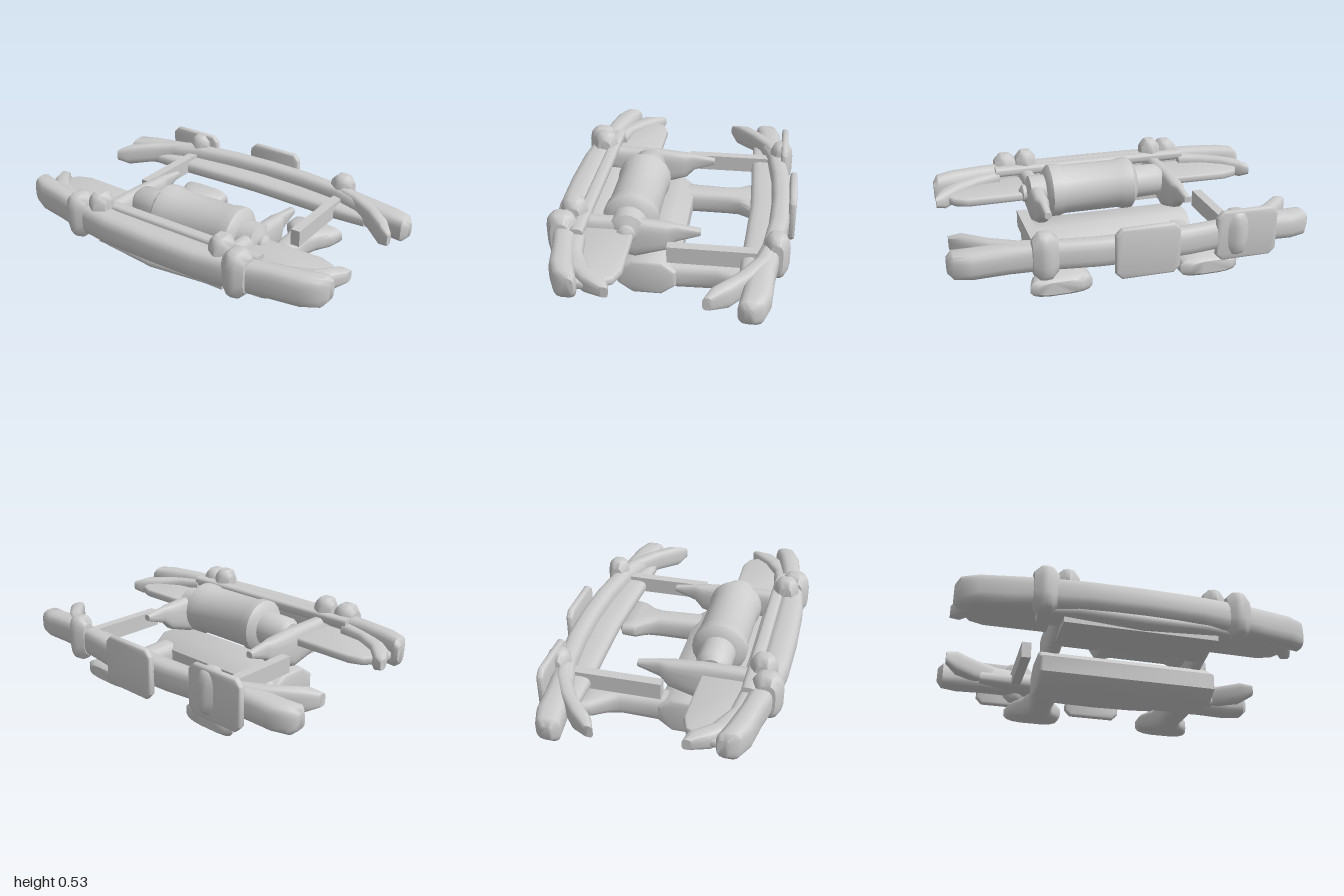
import * as THREE from 'three';
import { toCreasedNormals } from 'three/addons/utils/BufferGeometryUtils.js';

const material = new THREE.MeshStandardMaterial({ color: 0xcccccc, side: THREE.DoubleSide });

// Adds one named mesh with creased normals.
function add(group, name, geometry) {
  const mesh = new THREE.Mesh(toCreasedNormals(geometry, 0.8), material);
  mesh.name = name;
  group.add(mesh);
}

// Rounded-square ring, as fractions of the half sizes.
const RING = Array.from({ length: 16 }, (_, i) => {
  const a = (i + 0.5) / 8 * Math.PI;
  const soft = (v) => Math.sign(v) * Math.min(1, Math.abs(v) ** 0.62 * 1.01);
  return [soft(Math.cos(a)), soft(Math.sin(a))];
});

// Loft along x: each station is [x, yLow, yHigh, zLow, zHigh].
// Loft along z: each station is [z, yLow, yHigh, xLow, xHigh].
function loft(stations, axis = 'x') {
  const pos = [], index = [], n = RING.length;
  const put = (t, y, w) => (axis === 'x' ? pos.push(t, y, w) : pos.push(w, y, t));
  for (const [t, y0, y1, w0, w1] of stations) {
    for (const [a, b] of RING) put(t, (y0 + y1) / 2 + a * (y1 - y0) / 2, (w0 + w1) / 2 + b * (w1 - w0) / 2);
  }
  const flip = (axis === 'x') !== (stations[0][0] > stations[stations.length - 1][0]);
  const face = (a, b, c) => (flip ? index.push(a, c, b) : index.push(a, b, c));
  const last = (stations.length - 1) * n;
  for (let s = 0; s < last; s += n) {
    for (let i = 0; i < n; i++) {
      const j = (i + 1) % n;
      face(s + i, s + n + i, s + j);
      face(s + j, s + n + i, s + n + j);
    }
  }
  for (let i = 1; i < n - 1; i++) {
    face(0, i, i + 1);
    face(last, last + i + 1, last + i);
  }
  const g = new THREE.BufferGeometry();
  g.setAttribute('position', new THREE.Float32BufferAttribute(pos, 3));
  g.setIndex(index.reverse());
  return g;
}

// Full-width loft from stations given for the left half, centre first.
function symmetric(half) {
  const other = half.slice(1).reverse().map(([x, ...rest]) => [-x, ...rest]);
  return loft([...other, ...half]);
}

// Mirrors the x of every station for the right-hand twin.
const sided = (stations, s) => loft(stations.map(([x, ...r]) => [s * x, ...r]));
const sidedZ = (stations, s) => loft(
  stations.map(([z, a, b, x0, x1]) => (s > 0 ? [z, a, b, x0, x1] : [z, a, b, -x1, -x0])), 'z');

// Bulging clamp around a tube.
function clamp(x, hw, y0, y1, z0, z1) {
  const k = 0.035, m = 0.012;
  return loft([
    [x - hw, y0 + k, y1 - k, z0 + k, z1 - k], [x - hw * .45, y0, y1, z0 + m, z1 - m], [x, y0, y1, z0, z1],
    [x + hw * .45, y0, y1, z0 + m, z1 - m], [x + hw, y0 + k, y1 - k, z0 + k, z1 - k]]);
}

function outline(points) {
  return new THREE.Shape(points.map(([x, y]) => new THREE.Vector2(x, y)));
}

// Winch part turned around x: profile of [x, radius].
function turned(profile) {
  const g = new THREE.LatheGeometry(profile.map(([x, r]) => new THREE.Vector2(r, x)), 20);
  g.rotateZ(-Math.PI / 2);
  g.translate(0, 0.365, 0.24);
  return g;
}

// Rounded square panel facing the back.
function panel(x, y, z, w, h, d) {
  const a = w / 2, b = h / 2, c = 0.035, e = 0.013;
  const g = new THREE.ExtrudeGeometry(outline([
    [-a + c, -b], [a - c, -b], [a, -b + c], [a, b - c], [a - c, b], [-a + c, b], [-a, b - c], [-a, -b + c]]),
  { depth: d - 2 * e, bevelSize: e, bevelThickness: e, bevelOffset: -e, bevelSegments: 2 });
  g.translate(x, y, z - d / 2 + e);
  return g;
}

function frontBumper() {
  const g = new THREE.Group();
  g.name = 'frontBumper';
  add(g, 'frontTube', symmetric([
    [0, .28, .445, .49, .65], [.3, .28, .445, .49, .643], [.55, .28, .45, .48, .61], [.7, .28, .455, .46, .575],
    [.86, .28, .455, .42, .55], [.95, .29, .45, .39, .51], [.975, .32, .42, .4, .46]]));
  add(g, 'frontUpperRail', symmetric([[0, .4, .457, .44, .51], [.6, .4, .457, .44, .51]]));
  add(g, 'frontLowerLip', symmetric([
    [0, .23, .3, .4, .62], [.35, .25, .31, .4, .6], [.55, .26, .32, .42, .55]]));
  // flat tray under the winch
  const tray = new THREE.BoxGeometry(.84, .05, .28);
  tray.translate(0, .25, .41);
  add(g, 'winchTray', tray);
  for (const s of [1, -1]) {
    // flat wing behind each end of the tube
    const wing = new THREE.ExtrudeGeometry(outline([
      [s * .4, .2], [s * .8, .195], [s * .88, .225], [s * .94, .33], [s * .94, .42], [s * .88, .5], [s * .4, .52]]),
    { depth: 0.02, bevelSize: 0.015, bevelThickness: 0.015, bevelOffset: -0.015, bevelSegments: 2 });
    wing.rotateX(Math.PI / 2);
    wing.translate(0, .365, 0);
    add(g, 'frontWing', wing);
    add(g, 'frontHook', sided([
      [.58, .33, .43, .43, .52], [.72, .32, .42, .41, .5], [.84, .31, .41, .34, .46],
      [.93, .31, .41, .24, .38], [.98, .33, .39, .23, .28]], s));
    add(g, 'outerClamp', clamp(s * .525, .065, .25, .51, .48, .65));
    add(g, 'innerClamp', clamp(s * .405, .06, .3, .535, .45, .6));
  }
  return g;
}

function winch() {
  const g = new THREE.Group();
  g.name = 'winch';
  add(g, 'winchDrum', turned([
    [-.2, 0], [-.2, .12], [-.17, .155], [-.12, .155], [-.09, .145], [.24, .145], [.27, .155],
    [.32, .155], [.35, .12], [.35, 0]]));
  add(g, 'winchMotor', turned([[-.38, 0], [-.38, .07], [-.35, .095], [-.2, .1], [-.2, 0]]));
  add(g, 'winchGearbox', turned([[.34, 0], [.34, .1], [.44, .1], [.46, .05], [.48, .05], [.5, .02], [.5, 0]]));
  return g;
}

function rearBumper() {
  const g = new THREE.Group();
  g.name = 'rearBumper';
  add(g, 'rearTube', symmetric([
    [0, .25, .4, -.63, -.52], [.25, .25, .4, -.62, -.51], [.5, .25, .4, -.585, -.48],
    [.7, .24, .39, -.56, -.42], [.88, .23, .375, -.55, -.4], [.97, .23, .37, -.52, -.39],
    [1, .26, .34, -.48, -.42]]));
  add(g, 'rearShelf', symmetric([
    [0, .25, .335, -.57, -.4], [.3, .25, .335, -.55, -.39], [.55, .25, .335, -.53, -.38], [.75, .26, .33, -.5, -.38]]));
  for (const s of [1, -1]) {
    add(g, 'rearHook', sided([
      [.5, .29, .41, -.57, -.5], [.64, .28, .4, -.54, -.45], [.78, .27, .395, -.46, -.36],
      [.9, .26, .39, -.36, -.25], [.965, .29, .36, -.27, -.22]], s));
    add(g, 'rearClamp', clamp(s * .52, .065, .21, .465, -.63, -.49));
    // straight mounting rail
    const rail = new THREE.BoxGeometry(.055, .095, .56);
    rail.translate(s * .53, .31, -.27);
    add(g, 'rearRail', rail);
  }
  add(g, 'rearCentrePanel', panel(0, .33, -.637, .35, .28, .04));
  add(g, 'rearSidePanel', panel(-.575, .33, -.58, .35, .28, .04));
  return g;
}

function lowerFrame() {
  const g = new THREE.Group();
  g.name = 'lowerFrame';
  // eight-sided cross beam
  const beam = new THREE.ExtrudeGeometry(outline([
    [-.295, .06], [-.21, 0], [-.05, 0], [.03, .06], [.03, .15], [-.05, .21], [-.21, .21], [-.295, .15]]),
  { depth: .95, bevelSize: .02, bevelThickness: .02, bevelOffset: -.02, bevelSegments: 2 });
  beam.rotateY(Math.PI / 2);
  beam.translate(-.475, 0, 0);
  add(g, 'lowerBeam', beam);
  for (const s of [1, -1]) {
    // arm ending in a flared tip
    add(g, 'flaredArm', sidedZ([
      [.02, .03, .18, .33, .48], [-.25, .03, .175, .33, .47], [-.32, .035, .17, .31, .5],
      [-.39, .045, .165, .25, .56], [-.47, .05, .16, .25, .585], [-.495, .07, .14, .3, .55]], s));
    // tapering bracket between the beam, the winch and the front tube
    add(g, 'bracket', sidedZ([
      [-.155, .355, .39, .39, .43], [-.03, .31, .41, .385, .435], [.02, .26, .415, .365, .455],
      [.2, .2, .43, .365, .455], [.4, .25, .43, .365, .455], [.52, .31, .43, .365, .455]], s));
  }
  return g;
}

export function createModel() {
  const model = new THREE.Group();
  model.name = 'bumperKit';
  model.add(frontBumper(), winch(), rearBumper(), lowerFrame());
  return model;
}
